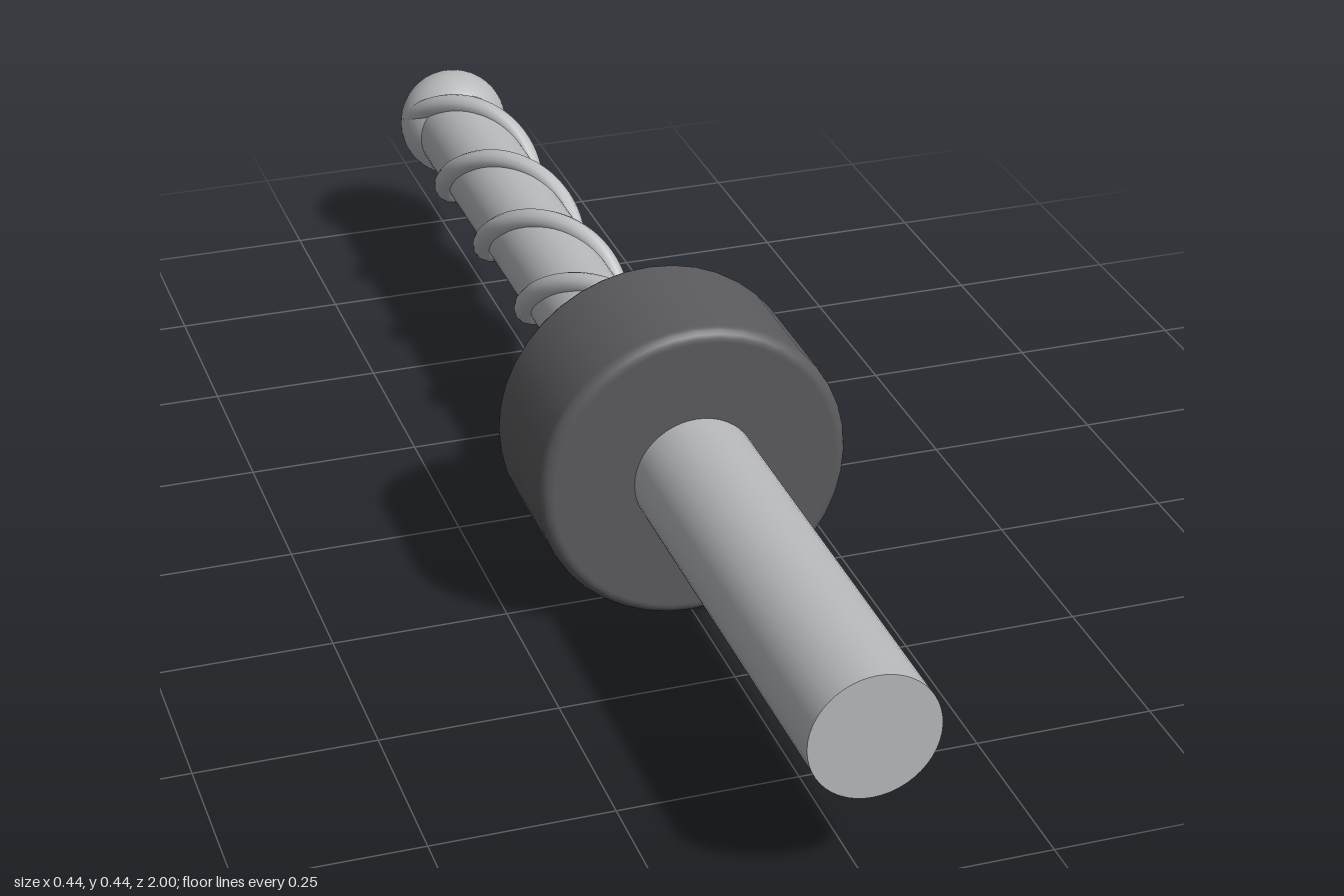
import * as THREE from 'three';

const AXIS_Y = 0.222;

export function createModel() {
  const model = new THREE.Group();
  const metal = new THREE.MeshStandardMaterial({ color: 0xb8babc });
  metal.name = 'brushed steel';
  const rubber = new THREE.MeshStandardMaterial({ color: 0x5c5c5f });
  rubber.name = 'dark grey collar';

  const add = (name, geometry, material) => {
    const mesh = new THREE.Mesh(geometry, material);
    mesh.name = name;
    mesh.position.y = AXIS_Y;
    model.add(mesh);
    return mesh;
  };

  // Solid rod along z between two depths
  const rod = (radius, z0, z1) =>
    new THREE.CylinderGeometry(radius, radius, z1 - z0, 48)
      .rotateX(Math.PI / 2)
      .translate(0, 0, (z0 + z1) / 2);

  add('shank', rod(0.0885, -0.025, 1), metal);
  add('core', rod(0.069, -0.9, -0.02), metal);

  // Ball tip
  add('ballTip', new THREE.SphereGeometry(0.087, 40, 24).translate(0, 0, -0.913), metal);

  // Collar: rounded rim on a flat-faced ring, closed at the axis
  const R = 0.222, half = 0.11, fillet = 0.018;
  const profile = [new THREE.Vector2(0.05, -half)];
  for (const side of [-1, 1]) {
    for (let i = 0; i <= 5; i++) {
      const a = (side < 0 ? i - 5 : i) / 5 * Math.PI / 2;
      profile.push(new THREE.Vector2(
        R - fillet + fillet * Math.cos(a),
        side * (half - fillet) + fillet * Math.sin(a)
      ));
    }
  }
  profile.push(new THREE.Vector2(0.05, half));
  add('collar', new THREE.LatheGeometry(profile, 40)
    .rotateX(Math.PI / 2).translate(0, 0, 0.22), rubber);

  // Two opposed spiral ridges wound around the core
  const pitch = 0.455, zStart = -0.016, ridgeRadius = 0.0165, helixRadius = 0.0715;
  for (const [name, phase] of [['spiralRidgeA', 0], ['spiralRidgeB', Math.PI]]) {
    const points = [];
    for (let i = 0; i <= 80; i++) {
      const z = 0.005 - (i / 80) * 0.917;
      const a = phase + (zStart - z) / pitch * Math.PI * 2;
      points.push(new THREE.Vector3(helixRadius * Math.cos(a), helixRadius * Math.sin(a), z));
    }
    add(name, new THREE.TubeGeometry(new THREE.CatmullRomCurve3(points), 160, ridgeRadius, 12), metal);
  }

  return model;
}
